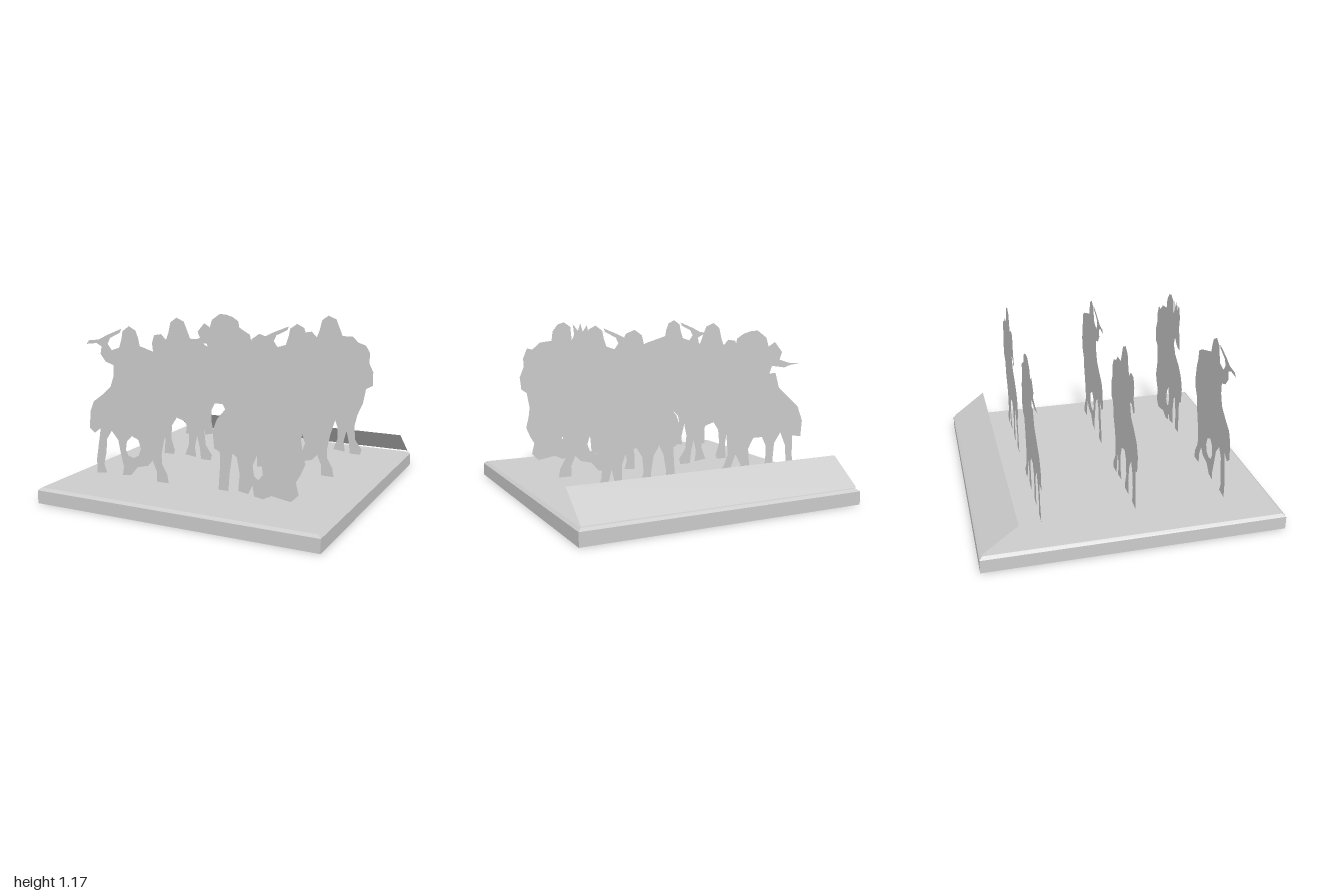
import * as THREE from 'three';

// Flat rider outlines: x, y pairs in hundredths, x measured from the rider's axis
const RIDERS = {
  clubRider: {
    outline: [
      -35, 104, -33, 106.5, -25, 107.5, -18, 111, -7, 115.5, -8, 113, -16, 109, -18, 105, -15, 101, -9, 103,
      -7, 109, -6, 114, -1, 117.5, 4, 115, 6, 110, 7, 105, 17, 102, 24, 100, 29, 97, 30, 90,
      32, 84, 33, 76, 32, 68, 28, 62, 27, 54, 24, 44, 22, 34, 22, 28, 26, 21, 27, 15,
      18, 15, 18, 22, 15, 29, 11, 25, 3, 23, -2, 17, -9, 16, -8, 22, -10, 30, -12, 40,
      -17, 46, -21, 40, -22, 30, -24, 22, -22, 16, -30, 15, -30, 25, -28, 36, -26, 47, -31, 43,
      -35, 46, -34, 58, -31, 65, -24, 70, -17, 76, -14, 84, -14, 91, -20, 93, -24, 98, -23, 103,
      -27, 105],
    hole: [-6, 34, -5, 40, -1, 44, 4, 42, 6, 36, 4, 31, 0, 29, -4, 30],
  },
  plainRider: {
    outline: [
      -20, 104, -14, 105, -10, 101, -8, 106, -6, 114, -1, 117.5, 5, 115, 8, 108, 10, 103, 18, 103,
      22, 99, 28, 97, 31, 92, 31, 84, 34, 78, 34, 68, 29, 65, 27, 54, 23, 45, 21, 36,
      22, 26, 27, 19, 26, 15, 18, 15, 17, 24, 15, 32, 13, 24, 14, 16, 5, 17, 8, 25,
      8, 34, 5, 42, -2, 44, -6, 38, -7, 28, -4, 19, -5, 16, -13, 16, -12, 26, -14, 38,
      -18, 44, -21, 38, -23, 27, -22, 16, -30, 15, -29, 27, -28, 42, -32, 44, -33, 55, -30, 63,
      -24, 69, -16, 75, -13, 84, -17, 85, -21, 80, -24, 82, -21, 90, -22, 98],
  },
  spearRider: {
    outline: [
      -33, 92, -24, 92.5, -16, 95, -18, 100, -12, 107, -7, 104, -5, 110, 2, 115, 8, 114.5, 13, 113,
      18, 110, 19, 105, 28, 100, 30, 92, 33, 82, 35, 68, 31, 62, 28, 63, 26, 55, 25, 44,
      24, 34, 27, 26, 33, 19, 32, 15, 24, 16, 22, 24, 18, 33, 14, 26, 15, 17, 7, 16,
      7, 24, 8, 36, 4, 43, -3, 43, -6, 37, -6, 27, -4, 18, -12, 16, -12, 27, -13, 38,
      -18, 45, -22, 36, -23, 25, -22, 16, -30, 15, -28, 28, -28, 42, -35, 41, -36, 52, -32, 62,
      -24, 69, -16, 76, -13, 86, -8, 86, -10, 91, -20, 89.5, -25, 91],
  },
  raisedHandRider: {
    outline: [
      -24, 82, -23, 90, -21, 98, -22, 106, -19, 115, -16, 110, -14, 116.5, -12, 111, -8, 116, -9, 108,
      -7, 104, -6, 114, -1, 117.5, 4, 116, 8, 111, 9, 104, 18, 103, 24, 98, 28, 99, 31, 92,
      31, 85, 34, 78, 33, 69, 29, 66, 27, 55, 28, 48, 30, 40, 27, 33, 24, 28, 26, 20,
      21, 15, 14, 16, 8, 17, 2, 14, -4, 15, -5, 22, -8, 16, -15, 17, -14, 28, -16, 39,
      -19, 41, -21, 28, -22, 16, -29, 16, -28, 30, -28, 41, -32, 43, -33, 54, -30, 62, -24, 69,
      -15, 75, -11, 82, -13, 88, -17, 84, -20, 82],
    hole: [-4, 28, -5, 35, -2, 42, 1, 37, 2, 30, -1, 26],
  },
};

// Columns, rows and outline of each rider
const PLACES = [
  ['clubRider', -0.465, 0.65],
  ['plainRider', -0.465, 0.04],
  ['spearRider', -0.465, -0.58],
  ['raisedHandRider', 0.465, 0.65],
  ['clubRider', 0.465, 0.04],
  ['plainRider', 0.465, -0.58],
];

function toPoints(list) {
  const points = [];
  for (let i = 0; i < list.length; i += 2) points.push(new THREE.Vector2(list[i] / 100, list[i + 1] / 100));
  return points;
}

export function createModel() {
  const group = new THREE.Group();
  const grey = new THREE.MeshStandardMaterial({ color: 0xcccccc, flatShading: true, side: THREE.DoubleSide });
  grey.name = 'plain grey';
  const add = (name, geometry, x = 0, y = 0, z = 0) => {
    const mesh = new THREE.Mesh(geometry, grey);
    mesh.name = name;
    mesh.position.set(x, y, z);
    group.add(mesh);
    return mesh;
  };

  // Square tray with a bevelled top rim
  const profile = [[0, 0], [1, 0], [1, 0.09], [0.98, 0.107], [0, 0.107]]
    .map(([r, y]) => new THREE.Vector2(r * Math.SQRT2, y));
  add('base', new THREE.LatheGeometry(profile, 4, Math.PI / 4));

  // Sloping plate along the back edge, leaning inwards
  const rise = 0.175, run = 0.235;
  const plate = add('backPlate', new THREE.PlaneGeometry(1.96, Math.hypot(rise, run)), 0, 0.115 + rise / 2, -0.985 + run / 2);
  plate.rotation.x = Math.atan2(run, rise);

  // Upright riders, one flat silhouette each
  const geometries = {};
  for (const [name, { outline, hole }] of Object.entries(RIDERS)) {
    const shape = new THREE.Shape(toPoints(outline));
    if (hole) shape.holes.push(new THREE.Path(toPoints(hole)));
    geometries[name] = new THREE.ShapeGeometry(shape);
  }
  for (const [name, x, z] of PLACES) add(name, geometries[name], x, 0, z);

  return group;
}
